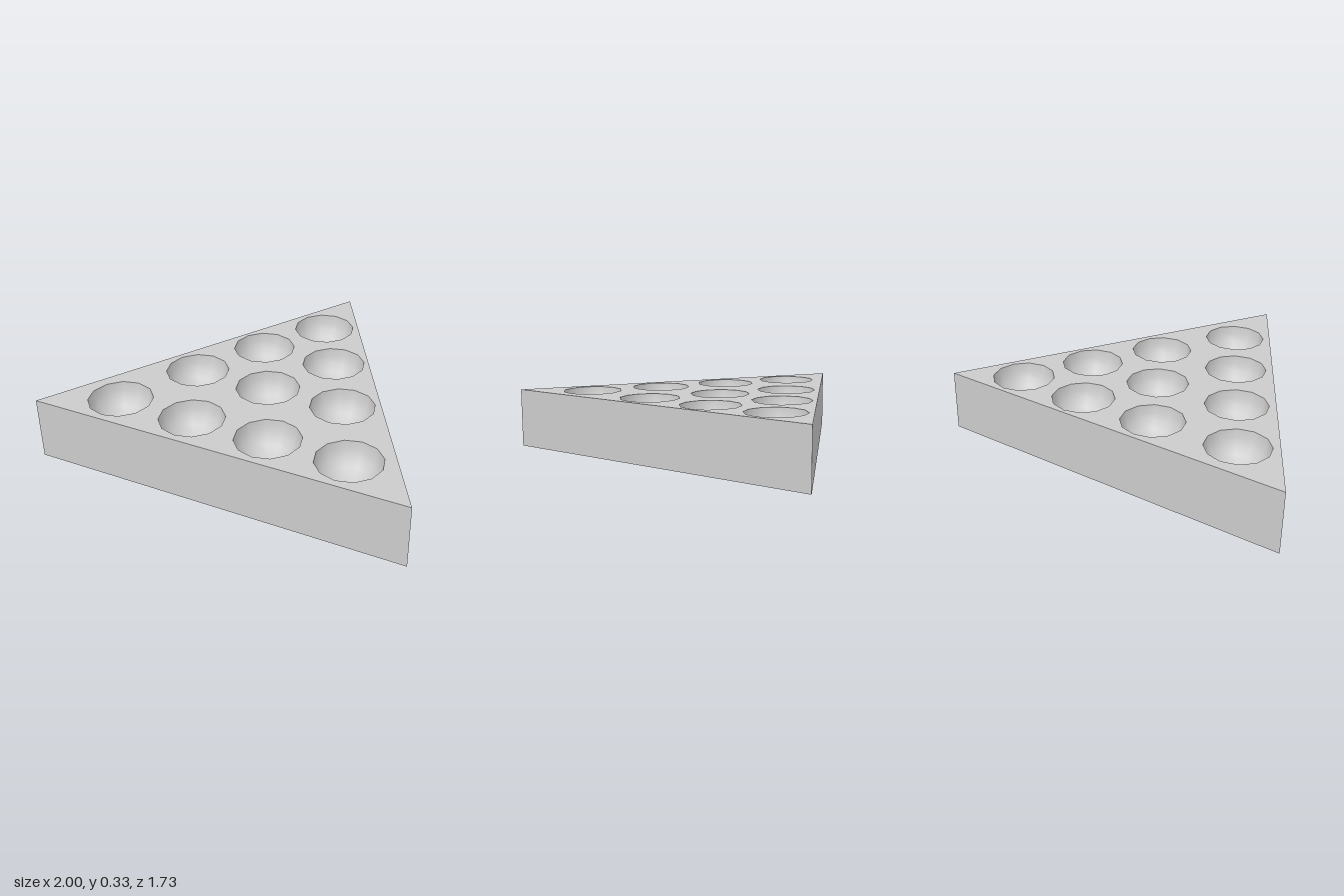
import * as THREE from 'three';

const HEIGHT = 0.333;
const RADIUS = 2 / Math.sqrt(3);   // corner radius of a triangle with sides of 2
const CENTRE_Z = Math.sqrt(3) / 6; // centroid, so that the depth is centred on z = 0
const CUP_RADIUS = 0.166;
const CUP_SIDES = 12;
const CUP_SPACING = 0.417;
const ROW_Z = [-0.479, -0.128, 0.246, 0.663];

export function createModel() {
  const model = new THREE.Group();
  model.name = 'triangularRack';
  const flat = new THREE.MeshStandardMaterial({ color: 0xcccccc, flatShading: true });
  const smooth = new THREE.MeshStandardMaterial({ color: 0xcccccc });

  const add = (name, geometry, material, x, y, z) => {
    const mesh = new THREE.Mesh(geometry, material);
    mesh.name = name;
    mesh.position.set(x, y, z);
    model.add(mesh);
  };

  // Cup centres: rows of one, two, three and four
  const cups = ROW_Z.flatMap((z, row) =>
    Array.from({ length: row + 1 }, (_, i) => ({ x: (i - row / 2) * CUP_SPACING, z })));

  // Three upright sides and the solid underside
  add('sideWalls', new THREE.CylinderGeometry(RADIUS, RADIUS, HEIGHT, 3, 1, true, Math.PI),
    flat, 0, HEIGHT / 2, CENTRE_Z);
  add('underside', new THREE.CircleGeometry(RADIUS, 3, -Math.PI / 2).rotateX(Math.PI / 2),
    flat, 0, 0, CENTRE_Z);

  // Top face with a twelve-sided opening for each cup (shape y is -z)
  const half = Math.sqrt(3) / 2;
  const top = new THREE.Shape([
    new THREE.Vector2(-1, -half), new THREE.Vector2(1, -half), new THREE.Vector2(0, half),
  ]);
  for (const { x, z } of cups) {
    const rim = Array.from({ length: CUP_SIDES }, (_, i) => {
      const a = -i / CUP_SIDES * Math.PI * 2;
      return new THREE.Vector2(x + CUP_RADIUS * Math.cos(a), -z + CUP_RADIUS * Math.sin(a));
    });
    top.holes.push(new THREE.Path(rim));
  }
  add('topFace', new THREE.ShapeGeometry(top).rotateX(-Math.PI / 2), flat, 0, HEIGHT, 0);

  // Hemispherical cups, profile from rim to bottom so the faces look inward
  const rings = 6;
  const profile = Array.from({ length: rings + 1 }, (_, i) => {
    const a = i / rings * Math.PI / 2;
    return new THREE.Vector2(i === rings ? 0 : CUP_RADIUS * Math.cos(a), -CUP_RADIUS * Math.sin(a));
  });
  const cupGeometry = new THREE.LatheGeometry(profile, CUP_SIDES);
  cups.forEach(({ x, z }, i) => add(`cup${i + 1}`, cupGeometry, smooth, x, HEIGHT, z));

  return model;
}
